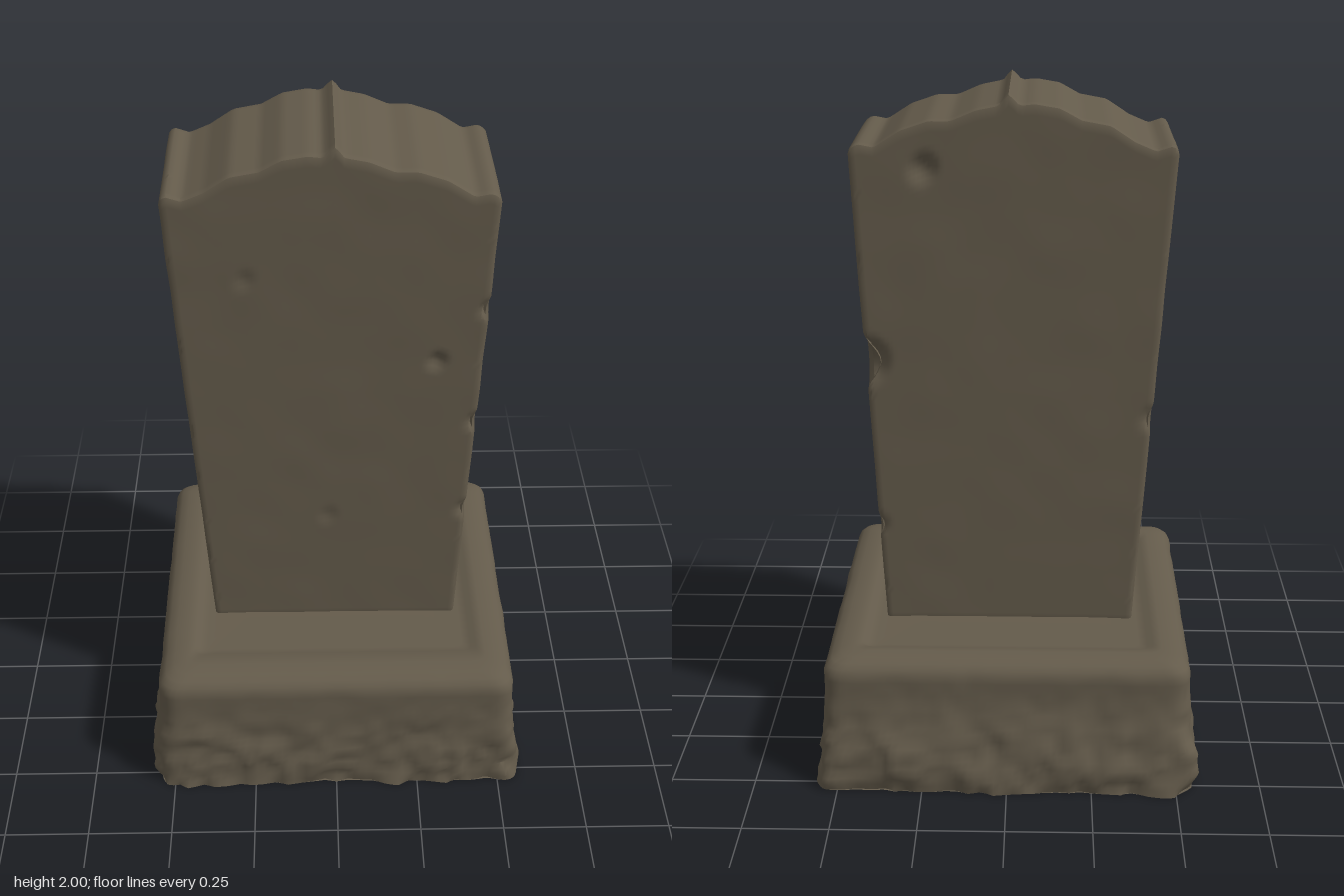
import * as THREE from 'three';
import { mergeVertices, toCreasedNormals } from 'three/addons/utils/BufferGeometryUtils.js';

const { clamp, lerp, smoothstep } = THREE.MathUtils;

// Seeded 3D value noise in the range -1..1
function hash(x, y, z) {
  const s = Math.sin(x * 127.1 + y * 311.7 + z * 74.7) * 43758.5453;
  return (s - Math.floor(s)) * 2 - 1;
}
function noise(x, y, z) {
  const i = [x, y, z].map(Math.floor);
  const f = [x - i[0], y - i[1], z - i[2]].map((t) => t * t * (3 - 2 * t));
  let sum = 0;
  for (let k = 0; k < 8; k++) {
    const b = [k & 1, (k >> 1) & 1, k >> 2];
    const w = b.reduce((a, on, n) => a * (on ? f[n] : 1 - f[n]), 1);
    sum += w * hash(i[0] + b[0], i[1] + b[1], i[2] + b[2]);
  }
  return sum;
}

// Scalloped crest of the headstone: x, y
const CREST = [
  [-0.475, 1.845], [-0.455, 1.86], [-0.41, 1.845], [-0.35, 1.87], [-0.28, 1.915], [-0.2, 1.93],
  [-0.14, 1.963], [-0.07, 1.975], [-0.03, 1.97], [-0.012, 1.99], [0, 2], [0.012, 1.988],
  [0.025, 1.97], [0.09, 1.957], [0.16, 1.927], [0.22, 1.927], [0.3, 1.9], [0.375, 1.853],
  [0.42, 1.862], [0.45, 1.845],
];
function crestHeight(x) {
  for (let i = 1; i < CREST.length; i++) {
    const [x0, y0] = CREST[i - 1], [x1, y1] = CREST[i];
    if (x <= x1) return lerp(y0, y1, clamp((x - x0) / (x1 - x0), 0, 1));
  }
  return CREST[CREST.length - 1][1];
}

// Chips and dents: centre x, y, z, radius, depth
const CHIPS = [
  [0.42, 1.22, -0.2, 0.09, 0.045], [0.44, 1.7, 0.13, 0.07, 0.025], [0.29, 1.33, 0.22, 0.04, 0.016],
  [0.43, 1.43, -0.07, 0.05, 0.014], [0.24, 1.79, -0.22, 0.055, 0.022], [0.41, 1.12, 0.22, 0.04, 0.014],
  [0.43, 1.5, 0.23, 0.04, 0.014], [0.39, 0.8, 0.21, 0.04, 0.012], [0.39, 0.7, -0.19, 0.04, 0.012],
  [-0.25, 1.6, 0.23, 0.04, 0.007], [-0.02, 0.78, 0.21, 0.04, 0.006], [-0.42, 1.05, -0.2, 0.05, 0.012],
];

function headstoneGeometry() {
  const r = 0.014, half = [0.46, 0.75, 0.22];
  let g = new THREE.BoxGeometry(0.92, 1.5, 0.44, 76, 96, 32);
  g.deleteAttribute('uv');
  g.deleteAttribute('normal');
  g = mergeVertices(g);
  const pos = g.attributes.position;
  const p = new THREE.Vector3(), q = new THREE.Vector3();
  for (let i = 0; i < pos.count; i++) {
    p.fromBufferAttribute(pos, i);
    // round the edges
    q.set(...p.toArray().map((v, n) => clamp(v, r - half[n], half[n] - r)));
    p.sub(q).setLength(p.length() ? r : 0).add(q);
    // taper towards the foot and fit the crest
    const v = (p.y + 0.75) / 1.5;
    const u = p.x / 0.46, w = p.z / 0.22;
    const topX = u < 0 ? u * 0.475 : u * 0.45;
    const y = lerp(0.375, crestHeight(topX), v);
    const t = (y - 0.375) / 1.475;
    const x = u * lerp(0.375, u < 0 ? 0.475 : 0.45, t);
    const z = w * lerp(0.194, 0.234, t) + 0.007;
    // weathering pushes the surface inwards
    let dent = 0.0025 * (noise(x * 9, y * 9, z * 9) + 1) * 0.5;
    for (const [cx, cy, cz, cr, depth] of CHIPS) {
      const d = Math.hypot(x - cx, y - cy, z - cz) / cr;
      if (d < 1) dent += depth * (1 - d * d) ** 2;
    }
    const ex = Math.abs(u) > 0.97 ? Math.sign(u) : 0;
    const ez = Math.abs(w) > 0.95 ? Math.sign(w) : 0;
    pos.setXYZ(i, x - ex * dent, y, z - ez * dent);
  }
  return toCreasedNormals(g, 0.7);
}

// Point on a rounded square with unit half-size; s runs 0..1 around it
function roundedSquare(s, radius) {
  const side = Math.floor(s * 4) % 4, f = (s * 4) % 1;
  const p = new THREE.Vector2(1, f * 2 - 1);
  const c = new THREE.Vector2(1 - radius, clamp(p.y, radius - 1, 1 - radius));
  p.sub(c).setLength(radius).add(c);
  return p.rotateAround(new THREE.Vector2(), side * Math.PI / 2);
}

function plinthGeometry() {
  // half width, half depth, centre z, height, corner radius, roughness
  const rings = [[0.001, 0.001, 0, 0, 0.1, 0], [0.558, 0.552, 0, 0, 0.1, 0.6]];
  for (let k = 0; k <= 18; k++) {
    const y = k * 0.02;
    const flare = 1 - smoothstep(y, 0.06, 0.3);
    rings.push([0.536 + 0.022 * flare, 0.529 + 0.023 * flare, 0.012 * (1 - flare), y, 0.1,
      0.15 + 0.85 * (1 - smoothstep(y, 0.1, 0.33))]);
  }
  // rounded shoulder, raised rim and the shallow sunken panel
  rings.push([0.528, 0.521, 0.012, 0.378, 0.1, 0.1], [0.514, 0.507, 0.012, 0.392, 0.1, 0.1],
    [0.49, 0.483, 0.012, 0.401, 0.1, 0.05], [0.455, 0.445, 0.01, 0.407, 0.08, 0],
    [0.43, 0.41, 0, 0.405, 0.06, 0], [0.415, 0.392, 0, 0.393, 0.05, 0],
    [0.39, 0.37, 0, 0.391, 0.05, 0], [0.25, 0.15, 0, 0.395, 0.05, 0], [0.001, 0.001, 0, 0.395, 0.1, 0]);

  const N = 240, verts = [], index = [];
  rings.forEach(([hx, hz, cz, y, radius, rough], j) => {
    for (let i = 0; i < N; i++) {
      const p = roundedSquare(i / N, radius);
      const x = p.x * hx, z = -p.y * hz + cz;
      const n = rough * (0.013 * noise(x * 11, y * 15, z * 11) + 0.009 * noise(x * 27 + 5, y * 32, z * 27));
      const k = 1 + n / 0.55;
      verts.push(x * k, y, z * k);
      if (j < rings.length - 1) {
        const a = j * N + i, b = j * N + (i + 1) % N;
        index.push(a, b, b + N, a, b + N, a + N);
      }
    }
  });
  const g = new THREE.BufferGeometry();
  g.setAttribute('position', new THREE.Float32BufferAttribute(verts, 3));
  g.setIndex(index);
  return toCreasedNormals(g, 0.9);
}

export function createModel() {
  const stone = new THREE.MeshStandardMaterial({ color: 0x645b4b });
  stone.name = 'weathered stone';
  const model = new THREE.Group();
  model.name = 'gravestone';
  const add = (name, geometry) => {
    const mesh = new THREE.Mesh(geometry, stone);
    mesh.name = name;
    model.add(mesh);
  };
  add('plinth', plinthGeometry());
  add('headstone', headstoneGeometry());
  return model;
}
